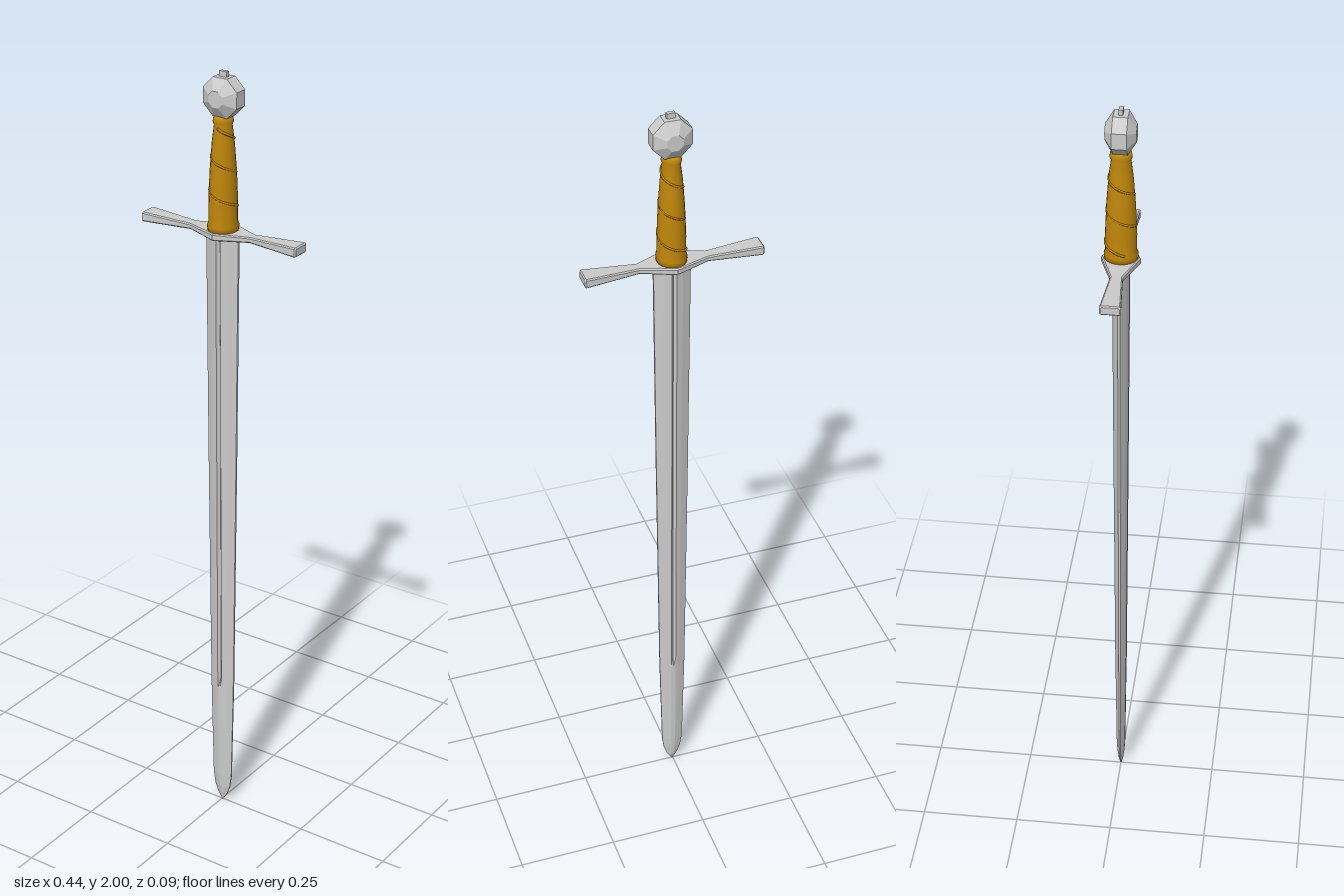
import * as THREE from 'three';

const steel = new THREE.MeshStandardMaterial({ color: 0xcccccc, flatShading: true });
const leather = new THREE.MeshStandardMaterial({ color: 0xbf860b });

// Skins a stack of equal-sized rings (counter-clockwise about the stacking axis) and caps both ends.
function loft(rings) {
  const n = rings[0].length, pos = [];
  const tri = (...points) => points.forEach(p => pos.push(...p));
  const middle = ring => [0, 1, 2].map(k => ring.reduce((sum, p) => sum + p[k], 0) / n);
  const first = rings[0], last = rings[rings.length - 1];
  for (let j = 0; j < n; j++) {
    const k = (j + 1) % n;
    for (let i = 0; i < rings.length - 1; i++) {
      const a = rings[i], b = rings[i + 1];
      tri(a[j], a[k], b[k]);
      tri(a[j], b[k], b[j]);
    }
    tri(middle(first), first[k], first[j]);
    tri(middle(last), last[j], last[k]);
  }
  const geometry = new THREE.BufferGeometry();
  geometry.setAttribute('position', new THREE.Float32BufferAttribute(pos, 3));
  geometry.computeVertexNormals();
  return geometry;
}

function part(name, geometry, material, parent) {
  const mesh = new THREE.Mesh(geometry, material);
  mesh.name = name;
  parent.add(mesh);
  return mesh;
}

// Blade section: thin edges, bevels and a narrow central groove on both faces
function bladeRing([y, w, t, groove]) {
  const g = Math.min(0.006, w * 0.2);
  const half = [[w, 0.15 * t], [0.5 * w, 0.72 * t], [g, t], [0, t - groove], [-g, t], [-0.5 * w, 0.72 * t], [-w, 0.15 * t]];
  const section = [...half, ...half.map(([x, z]) => [-x, -z])];
  return section.map(([x, z]) => [x + 0.002, y, z]).reverse();
}

// Guard section: a rectangle with small chamfers
function guardRing([x, z0, z1, h, inset = 0]) {
  const c = 0.003;
  const a = z0 + inset, b = z1 - inset, v = h - inset, y = 1.607;
  return [[v, a + c], [v, b - c], [v - c, b], [c - v, b], [-v, b - c], [-v, a + c], [c - v, a], [v - c, a]]
    .map(([dy, z]) => [x, y + dy, z]);
}

// Pommel section: a flat-topped octagon
function octagon(r, z) {
  return Array.from({ length: 8 }, (_, i) => {
    const a = (i + 0.5) * Math.PI / 4;
    return [0.005 + r * Math.cos(a), 1.94 + r * Math.sin(a), z];
  });
}

export function createModel() {
  const sword = new THREE.Group();
  sword.name = 'sword';

  // Blade rows: height, half width, half thickness, groove depth
  const blade = [
    [0, 0.002, 0.002, 0], [0.02, 0.014, 0.006, 0], [0.045, 0.023, 0.009, 0], [0.08, 0.028, 0.011, 0],
    [0.35, 0.034, 0.014, 0], [0.38, 0.0345, 0.0145, 0.006], [1, 0.041, 0.018, 0.008], [1.605, 0.046, 0.021, 0.009],
  ];
  part('blade', loft(blade.map(bladeRing)), steel, sword);

  // Guard rows: x, back z, front z, half height, end inset
  const guard = [
    [-0.22, -0.024, 0.025, 0.012, 0.003], [-0.217, -0.024, 0.025, 0.012], [-0.083, -0.016, 0.014, 0.007],
    [0.003, -0.047, 0.046, 0.009],
    [0.085, -0.016, 0.012, 0.007], [0.217, -0.028, 0.022, 0.012], [0.22, -0.028, 0.022, 0.012, 0.003],
  ];
  part('crossguard', loft(guard.map(guardRing)), steel, sword);

  // Grip with a raised base ring and a collar under the pommel
  const grip = new THREE.Group();
  grip.name = 'grip';
  grip.position.x = 0.003;
  grip.scale.z = 1.1;
  sword.add(grip);
  const profile = [
    [0, 1.61], [0.036, 1.61], [0.037, 1.628], [0.034, 1.636], [0.034, 1.68], [0.031, 1.76],
    [0.026, 1.83], [0.021, 1.872], [0.024, 1.88], [0.022, 1.894], [0, 1.9],
  ].map(([r, y]) => new THREE.Vector2(r, y));
  part('gripCore', new THREE.LatheGeometry(profile, 20), leather, grip);

  // Cord wound down the grip
  const cord = [];
  for (let i = 0; i <= 48; i++) {
    const t = i / 48, y = 1.868 - 0.232 * t, a = t * Math.PI * 5.6;
    const r = THREE.MathUtils.lerp(0.022, 0.0345, Math.pow(t, 0.75));
    cord.push(new THREE.Vector3(r * Math.sin(a), y, r * Math.cos(a)));
  }
  part('gripCord', new THREE.TubeGeometry(new THREE.CatmullRomCurve3(cord), 120, 0.003, 6), leather, grip);

  // Faceted wheel pommel and its end knob
  const pommel = [[0.021, -0.036], [0.051, -0.017], [0.051, 0.017], [0.021, 0.036]];
  part('pommel', loft(pommel.map(([r, z]) => octagon(r, z))), steel, sword);
  const knob = part('pommelKnob', new THREE.BoxGeometry(0.02, 0.02, 0.01), steel, sword);
  knob.position.set(0.005, 1.99, 0);

  return sword;
}
